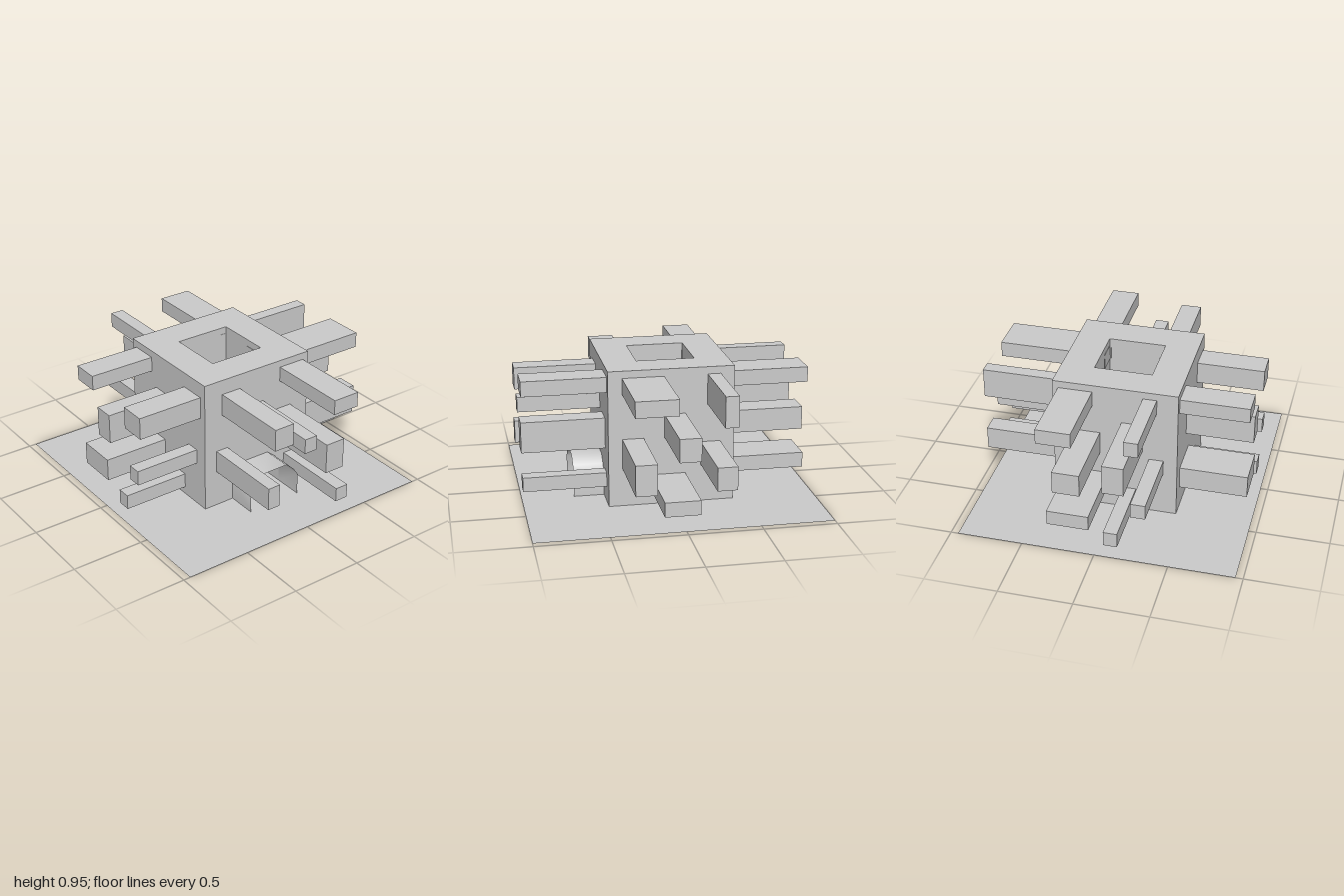
import * as THREE from 'three';

const material = new THREE.MeshStandardMaterial({ color: 0xcccccc, flatShading: true });
const smoothSheet = new THREE.MeshStandardMaterial({ color: 0xcccccc, side: THREE.DoubleSide });

const HALF = 0.43, SHAFT = 0.2, HEIGHT = 0.95;

// Entrance arch outline as [z, y], from one foot to the other
const halfArch = [[0.2, 0], [0.2, 0.157], [0.16, 0.215], [0.097, 0.267]];
const arch = [...halfArch, ...halfArch.map(([z, y]) => [-z, y]).reverse()];

// Beams on each side: [low, high] along the wall, [bottom, top]
const beams = {
  front: { axis: 'z', sign: 1, tip: 0.9, list: [
    [-0.385, -0.195, 0.795, 0.9], [0.195, 0.38, 0.69, 0.845], [-0.145, 0, 0.48, 0.69],
    [0.24, 0.335, 0.32, 0.425], [-0.335, -0.05, 0.16, 0.32], [0.095, 0.19, 0.055, 0.16]] },
  back: { axis: 'z', sign: -1, tip: 0.95, list: [
    [0.05, 0.335, 0.79, 0.9], [-0.335, -0.245, 0.69, 0.9], [-0.095, 0.05, 0.475, 0.635],
    [0.19, 0.335, 0.265, 0.475], [-0.095, 0.145, 0.11, 0.21], [-0.335, -0.2, 0.265, 0.425]] },
  left: { axis: 'x', sign: 1, tip: 1, list: [
    [0.145, 0.29, 0.69, 0.845], [-0.05, 0.045, 0.585, 0.69], [-0.385, -0.19, 0.795, 0.9],
    [-0.285, -0.14, 0.37, 0.585], [0.245, 0.335, 0.265, 0.425], [-0.335, -0.24, 0.11, 0.21]] },
  right: { axis: 'x', sign: -1, tip: 0.95, list: [
    [-0.39, -0.155, 0.795, 0.9], [0.19, 0.285, 0.795, 0.9], [-0.29, -0.105, 0.425, 0.585],
    [0.045, 0.19, 0.48, 0.69], [0.235, 0.335, 0.32, 0.425], [-0.335, -0.05, 0.16, 0.265],
    [0.05, 0.145, 0.055, 0.16]] },
};

function add(parent, name, geometry, mat = material) {
  const mesh = new THREE.Mesh(geometry, mat);
  mesh.name = name;
  parent.add(mesh);
  return mesh;
}

function shapeOf(points) {
  return new THREE.Shape(points.map(([a, b]) => new THREE.Vector2(a, b)));
}

// A box that runs from the shaft wall out to its tip
function beamGeometry({ axis, sign, tip }, [low, high, bottom, top]) {
  const inner = SHAFT - 0.003, length = tip - inner, mid = sign * (inner + tip) / 2;
  const y = (bottom + top) / 2, u = (low + high) / 2;
  return axis === 'x'
    ? new THREE.BoxGeometry(length, top - bottom, high - low).translate(mid, y, u)
    : new THREE.BoxGeometry(high - low, top - bottom, length).translate(u, y, mid);
}

export function createModel() {
  const model = new THREE.Group();
  model.name = 'towerWithBeams';

  // Flat ground slab
  const slab = new THREE.PlaneGeometry(2, 1.9).rotateX(-Math.PI / 2);
  add(model, 'basePlate', slab,
    new THREE.MeshStandardMaterial({ color: 0xcccccc, side: THREE.DoubleSide }));

  // Three tower walls around the square shaft
  const walls = shapeOf([[HALF, -HALF], [HALF, -SHAFT], [-SHAFT, -SHAFT], [-SHAFT, SHAFT],
    [HALF, SHAFT], [HALF, HALF], [-HALF, HALF], [-HALF, -HALF]]);
  add(model, 'towerWalls',
    new THREE.ExtrudeGeometry(walls, { depth: HEIGHT, bevelEnabled: false }).rotateX(-Math.PI / 2));

  // Fourth wall, cut away below by the entrance arch
  const lintel = shapeOf([...arch.slice(1, -1), [-SHAFT, HEIGHT], [SHAFT, HEIGHT]]);
  add(model, 'entranceWall',
    new THREE.ExtrudeGeometry(lintel, { depth: HALF - SHAFT, bevelEnabled: false })
      .rotateY(-Math.PI / 2).scale(1, 1, 1).translate(HALF, 0, 0));

  // Thin vaulted porch: a sheet bent along the arch
  const porch = new THREE.PlaneGeometry(1, 1, arch.length - 1, 1);
  const position = porch.attributes.position;
  for (let i = 0; i < position.count; i++) {
    const [z, y] = arch[i % arch.length];
    position.setXYZ(i, i < arch.length ? HALF : 0.64, y, z);
  }
  porch.computeVertexNormals();
  // Make the vault's normals point outward
  if (porch.attributes.normal.getZ(0) < 0) {
    porch.setIndex([...porch.index.array].reverse());
    porch.computeVertexNormals();
  }
  add(model, 'porchVault', porch, smoothSheet);

  // Beams bristling from every side
  for (const [side, spec] of Object.entries(beams)) {
    const group = new THREE.Group();
    group.name = `${side}Beams`;
    spec.list.forEach((size, i) => add(group, `${side}Beam${i + 1}`, beamGeometry(spec, size)));
    model.add(group);
  }
  return model;
}
